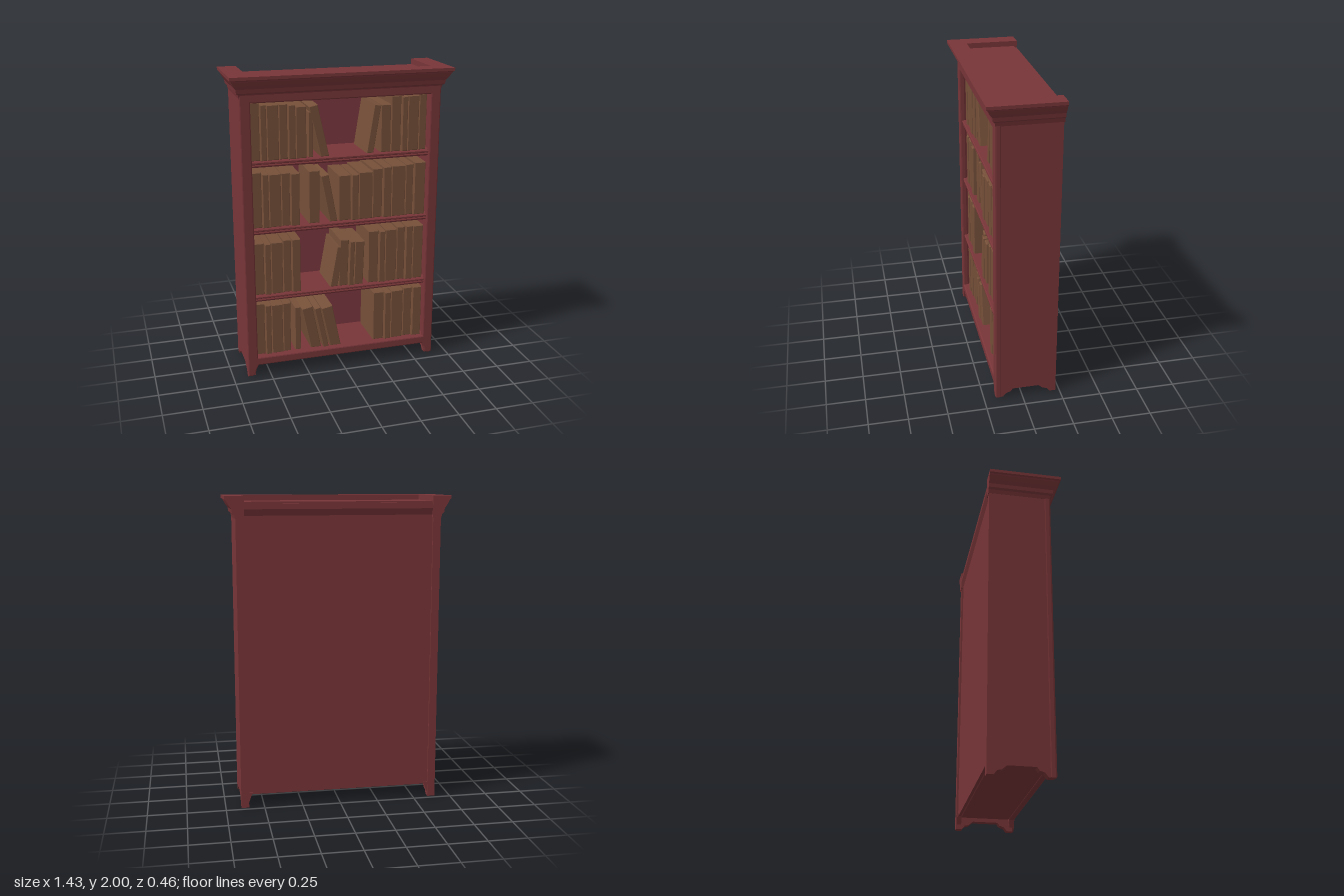
import * as THREE from 'three';

const wood = new THREE.MeshStandardMaterial({ color: 0x783538 });
wood.name = 'red wood';
const backing = new THREE.MeshStandardMaterial({ color: 0x7e3840 });
backing.name = 'inner back red';
const leather = new THREE.MeshStandardMaterial({ color: 0x765039 });
leather.name = 'brown leather';

const shapeOf = (pts) => new THREE.Shape(pts.map(([x, y]) => new THREE.Vector2(x, y)));

function add(parent, name, geometry, material = wood) {
  const mesh = new THREE.Mesh(geometry, material);
  mesh.name = name;
  parent.add(mesh);
}

// box centred on x = 0, given by its width and limits
function block(width, y0, y1, z0, z1) {
  return new THREE.BoxGeometry(width, y1 - y0, z1 - z0).translate(0, (y0 + y1) / 2, (z0 + z1) / 2);
}

// extrudes a (z, y) outline along x, centred on x
function alongX(pts, x, length) {
  return new THREE.ExtrudeGeometry(shapeOf(pts), { depth: length, bevelEnabled: false })
    .rotateY(-Math.PI / 2).translate(x + length / 2, 0, 0);
}

// sweeps a closed (offset, y) moulding round the left, front and right
function crownGeometry(profile, X, zFront, zBack) {
  const at = ([o, y], i) => {
    const x = i < 2 ? -X - o : X + o;
    return [x, y, i % 3 ? zFront + o : zBack];
  };
  const pos = [];
  for (let i = 0; i < 3; i++) {
    profile.forEach((p, j) => {
      const q = profile[(j + 1) % profile.length];
      const a = at(p, i), b = at(p, i + 1), c = at(q, i + 1), d = at(q, i);
      pos.push(...a, ...b, ...c, ...a, ...c, ...d);
    });
  }
  // end caps
  const outline = profile.map(([o, y]) => new THREE.Vector2(o, y));
  for (const [a, b, c] of THREE.ShapeUtils.triangulateShape(outline, [])) {
    pos.push(...at(profile[a], 0), ...at(profile[b], 0), ...at(profile[c], 0));
    pos.push(...at(profile[a], 3), ...at(profile[c], 3), ...at(profile[b], 3));
  }
  const g = new THREE.BufferGeometry();
  g.setAttribute('position', new THREE.Float32BufferAttribute(pos, 3));
  g.computeVertexNormals();
  return g;
}

// a book standing on y, its top moved sideways by lean
function bookGeometry(y, x0, x1, top, lean, front) {
  const drop = (x1 - x0) * lean / (top - y);
  const book = shapeOf([
    [x0, y], [x1, y],
    [x1 + lean, top - Math.max(drop, 0)], [x0 + lean, top + Math.min(drop, 0)],
  ]);
  return new THREE.ExtrudeGeometry(book, {
    depth: 0.27, bevelEnabled: true, bevelSize: 0.004, bevelThickness: 0.006,
    bevelOffset: -0.004, bevelSegments: 1,
  }).translate(0, 0, front - 0.276);
}

// a run of books between two x limits, with top heights blending from one end to the other
function bookRun(y, [x0, x1, count, topStart, topEnd, lean = 0]) {
  const run = new THREE.Group();
  run.name = 'bookRun';
  const edge = (i) => {
    const wobble = i % count ? 0.18 * Math.sin(i * 2.3) : 0;
    return x0 + (x1 - x0) * (i + wobble) / count;
  };
  const gap = count > 1 && Math.abs(lean) > 0.03 ? 0.006 : 0.002;
  for (let i = 0; i < count; i++) {
    const top = topStart + (topEnd - topStart) * i / Math.max(count - 1, 1) + 0.006 * Math.sin(i * 5);
    const front = 0.128 + 0.007 * (i * 2 % 3);
    add(run, 'book', bookGeometry(y, edge(i) + gap, edge(i + 1) - gap, top, lean, front), leather);
  }
  return run;
}

// each shelf: height, then runs of books (start, end, count, first top, last top, lean)
const SHELVES = [
  { y: 0.13, runs: [
    [-0.59, -0.345, 4, 0.495, 0.475], [-0.32, -0.275, 1, 0.44, 0.44],
    [-0.215, 0.005, 3, 0.435, 0.43, -0.06], [0.23, 0.578, 5, 0.48, 0.488]] },
  { y: 0.56, runs: [
    [-0.585, -0.275, 5, 0.915, 0.92], [-0.075, -0.02, 1, 0.84, 0.84, 0.05],
    [-0.015, 0.155, 3, 0.885, 0.87, 0.01], [0.19, 0.578, 6, 0.925, 0.938]] },
  { y: 1.02, runs: [
    [-0.59, -0.275, 5, 1.385, 1.36], [-0.215, -0.14, 1, 1.37, 1.37],
    [-0.075, -0.02, 1, 1.34, 1.34, -0.06], [-0.015, 0.578, 8, 1.325, 1.38]] },
  { y: 1.46, runs: [
    [-0.59, -0.225, 6, 1.825, 1.79], [-0.215, -0.18, 1, 1.75, 1.75],
    [-0.135, -0.075, 1, 1.795, 1.795, -0.075], [0.17, 0.22, 1, 1.775, 1.775, 0.05],
    [0.265, 0.335, 1, 1.77, 1.77], [0.335, 0.578, 4, 1.822, 1.822]] },
];

export function createModel() {
  const model = new THREE.Group();
  model.name = 'bookcase';

  // side panels with an arch between the feet
  const side = [
    [0.125, 0], [0.105, 0.025], [0.075, 0.035], [0.06, 0.055], [-0.11, 0.055], [-0.14, 0.03],
    [-0.165, 0.025], [-0.185, 0], [-0.225, 0], [-0.225, 1.9], [0.16, 1.9], [0.16, 0],
  ];
  for (const s of [-1, 1]) {
    add(model, s > 0 ? 'leftSide' : 'rightSide', alongX(side, s * 0.625, 0.05));
    // tapered back foot
    const foot = shapeOf([[0.61, 0], [0.64, 0], [0.64, 0.1], [0.575, 0.1], [0.59, 0.06]]
      .map(([x, y]) => [x * s, y]));
    add(model, 'backFoot', new THREE.ExtrudeGeometry(foot, { depth: 0.03, bevelEnabled: false })
      .translate(0, 0, -0.22));
  }

  // front frame: stiles, top rail, apron and front feet
  const half = [[0.58, 0.075], [0.592, 0.05], [0.605, 0.01], [0.615, 0], [0.652, 0], [0.652, 1.9]];
  const frame = shapeOf([...half, ...half.map(([x, y]) => [-x, y]).reverse()]);
  frame.holes.push(shapeOf([[-0.583, 0.13], [-0.583, 1.83], [0.583, 1.83], [0.583, 0.13]]));
  add(model, 'frontFrame', new THREE.ExtrudeGeometry(frame, {
    depth: 0.022, bevelEnabled: true, bevelSize: 0.008, bevelThickness: 0.01,
    bevelOffset: -0.008, bevelSegments: 2,
  }).translate(0, 0, 0.143));

  // back panel, inner lining, bottom board and ceiling
  add(model, 'backPanel', block(1.21, 0.085, 1.95, -0.212, -0.18));
  add(model, 'innerBack', block(1.2, 0.13, 1.85, -0.18, -0.174), backing);
  add(model, 'bottomBoard', alongX(
    [[-0.21, 0.11], [-0.19, 0.08], [0.15, 0.08], [0.15, 0.13], [-0.21, 0.13]], 0, 1.21));
  add(model, 'innerCeiling', block(1.21, 1.84, 1.87, -0.19, 0.15));

  // shelves with a moulded front edge, and their books
  SHELVES.forEach(({ y, runs }, level) => {
    if (level > 0) {
      add(model, 'shelf', alongX([
        [-0.18, -0.025], [0.13, -0.025], [0.135, -0.036], [0.15, -0.036], [0.156, -0.026],
        [0.151, -0.018], [0.16, -0.013], [0.16, -0.004], [0.154, 0], [-0.18, 0],
      ], 0, 1.2).translate(0, y, 0));
    }
    for (const run of runs) model.add(bookRun(y, run));
  });

  // crown moulding, recessed top and back rail
  add(model, 'crown', crownGeometry([
    [-0.055, 1.86], [0, 1.86], [0.006, 1.885], [0.018, 1.895], [0.022, 1.92], [0.036, 1.94],
    [0.05, 1.965], [0.055, 1.975], [0.064, 1.98], [0.064, 2], [-0.055, 2],
  ], 0.651, 0.17, -0.23));
  add(model, 'topPanel', block(1.2, 1.93, 1.965, -0.21, 0.12));
  add(model, 'backRail', alongX(
    [[-0.212, 1.88], [-0.228, 1.92], [-0.228, 1.955], [-0.2, 1.955], [-0.2, 1.86]], 0, 1.2));
  return model;
}
